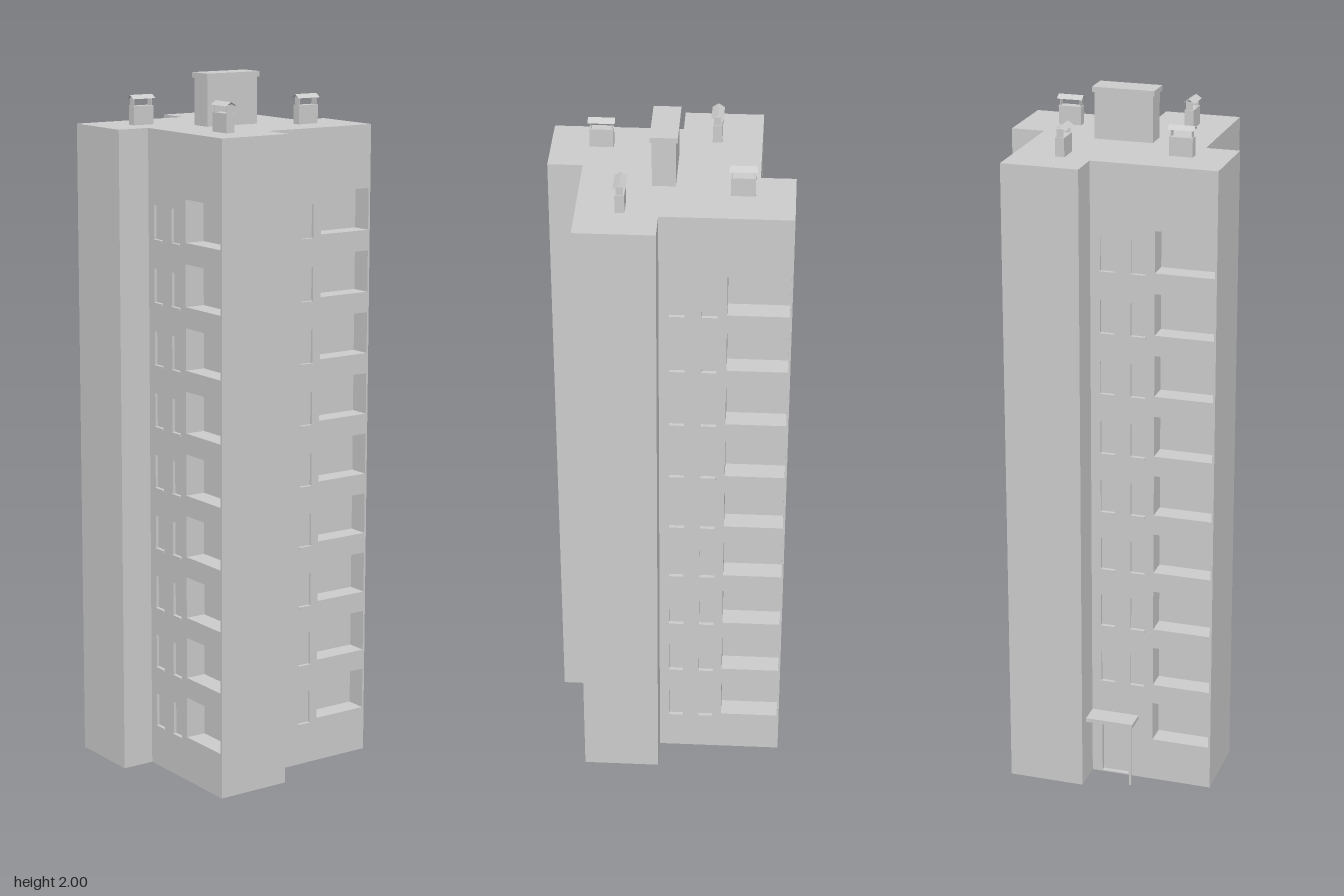
import * as THREE from 'three';

const mat = new THREE.MeshStandardMaterial({ color: 0xcccccc, side: THREE.DoubleSide, flatShading: true });

// Plan dimensions: four identical wings in a pinwheel
const H = 1.853, OUT = 0.337, FACE = 0.241, STEP = -0.021;
const FLOORS = 9, PITCH = 0.178, BACK = 2;

function add(parent, name, geometry, x = 0, y = 0, z = 0) {
  const mesh = new THREE.Mesh(geometry, mat);
  mesh.name = name;
  mesh.position.set(x, y, z);
  parent.add(mesh);
  return mesh;
}

const box = (parent, name, w, h, d, x, y, z) => add(parent, name, new THREE.BoxGeometry(w, h, d), x, y, z);

function rectPath(x0, x1, y0, y1) {
  return new THREE.Path([[x0, y0], [x1, y0], [x1, y1], [x0, y1]].map(p => new THREE.Vector2(...p)));
}

// Box without its front, set into the wall
function recess(parent, name, [x0, x1, y0, y1], depth) {
  const g = new THREE.BoxGeometry(x1 - x0, y1 - y0, depth);
  const index = Array.from(g.index.array);
  index.splice(24, 6);
  g.setIndex(index);
  g.clearGroups();
  add(parent, name, g, (x0 + x1) / 2, (y0 + y1) / 2, FACE - depth / 2);
}

// One quarter of the tower: wing end, return wall and pierced facade
function buildQuarter(k) {
  const q = new THREE.Group();
  q.name = 'facade';
  q.rotation.y = k * Math.PI / 2;

  add(q, 'wingEndWall', new THREE.PlaneGeometry(STEP + FACE, H), (STEP - FACE) / 2, H / 2, OUT);
  add(q, 'wingReturnWall', new THREE.PlaneGeometry(OUT - FACE, H), STEP, H / 2, (OUT + FACE) / 2)
    .rotation.y = Math.PI / 2;

  const wall = new THREE.Shape(rectPath(STEP, OUT, 0, H).getPoints());
  const open = (name, rect, depth) => {
    wall.holes.push(rectPath(...rect));
    recess(q, name, rect, depth);
  };
  for (let i = 0; i < FLOORS; i++) {
    const y = i * PITCH;
    open('balcony', [0.163, 0.331, y + 0.13, y + 0.249], 0.06);
    if (k === BACK && i === 0) continue;
    for (const x of [0.007, 0.095]) {
      open('window', [x, x + 0.042, y + 0.122, y + 0.218], 0.008);
      box(q, 'windowSill', 0.042, 0.006, 0.01, x + 0.021, y + 0.119, FACE - 0.002);
    }
  }
  if (k === BACK) open('entranceDoor', [0.01, 0.09, 0.004, 0.165], 0.012);
  add(q, 'piercedWall', new THREE.ShapeGeometry(wall), 0, 0, FACE);
  return q;
}

// Ventilation stack with a thin gabled hood on two end supports
function buildVent(x, z, turned) {
  const v = new THREE.Group();
  v.name = 'roofVent';
  v.position.set(x, H, z);
  if (turned) v.rotation.y = Math.PI / 2;
  box(v, 'ventStack', 0.066, 0.053, 0.026, 0, 0.0265, 0);
  for (const s of [-1, 1]) {
    box(v, 'hoodSupport', 0.002, 0.024, 0.02, s * 0.029, 0.064, 0);
    const slope = new THREE.PlaneGeometry(0.074, Math.hypot(0.017, 0.011));
    slope.rotateX(-Math.PI / 2 + s * Math.atan2(0.011, 0.017));
    add(v, 'ventHood', slope, 0, 0.0785, s * 0.0085);
  }
  return v;
}

export function createModel() {
  const tower = new THREE.Group();
  tower.name = 'apartmentTower';

  for (let k = 0; k < 4; k++) tower.add(buildQuarter(k));

  // Flat roof over the pinwheel plan
  const plan = [];
  for (let k = 0; k < 4; k++) {
    for (const [x, z] of [[-FACE, OUT], [STEP, OUT], [STEP, FACE]]) {
      const p = new THREE.Vector2(x, -z);
      plan.push(p.rotateAround(new THREE.Vector2(), k * Math.PI / 2));
    }
  }
  const roof = new THREE.ShapeGeometry(new THREE.Shape(plan));
  roof.rotateX(-Math.PI / 2);
  add(tower, 'roof', roof, 0, H, 0);

  // Lift house with an overhanging cap
  box(tower, 'liftHouse', 0.168, 0.132, 0.064, -0.004, H + 0.066, 0.0155);
  box(tower, 'liftHouseCap', 0.179, 0.015, 0.075, -0.004, 1.9925, 0.0155);

  tower.add(buildVent(-0.201, -0.117, false));
  tower.add(buildVent(0.195, 0.123, false));
  tower.add(buildVent(0.109, -0.197, true));
  tower.add(buildVent(-0.139, 0.198, true));

  // Entrance canopy on a single corner post
  box(tower, 'entranceCanopy', 0.14, 0.012, 0.061, -0.05, 0.196, -0.2725);
  box(tower, 'canopyPost', 0.005, 0.19, 0.005, -0.112, 0.095, -0.295);

  return tower;
}
